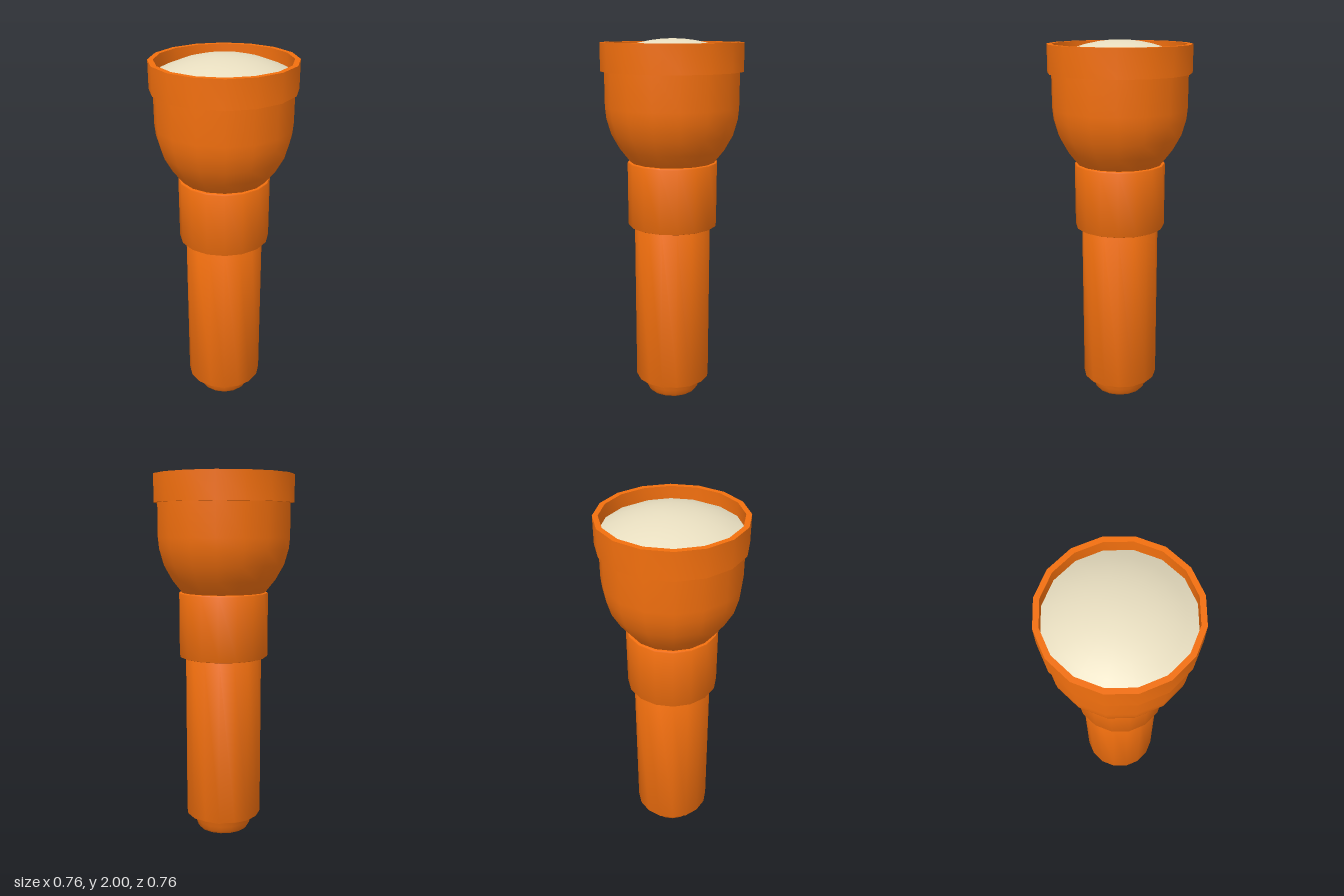
import * as THREE from 'three';
import { toCreasedNormals } from 'three/addons/utils/BufferGeometryUtils.js';

const SIDES = 16;

export function createModel() {
  const group = new THREE.Group();
  group.name = 'flashlight';
  const orange = new THREE.MeshStandardMaterial({ color: 0xf26f0e });
  const cream = new THREE.MeshStandardMaterial({ color: 0xe8dec0 });

  // Turn a [radius, height] profile, listed so that the outside faces out
  function turned(name, profile, material = orange) {
    const points = profile.map(([r, y]) => new THREE.Vector2(r, y));
    const lathe = new THREE.LatheGeometry(points, SIDES);
    const mesh = new THREE.Mesh(toCreasedNormals(lathe, 0.7), material);
    mesh.name = name;
    group.add(mesh);
  }

  // Tube with closed ends and small bevelled edges
  function bevelledTube(name, radius, bottom, top, b = 0.008) {
    turned(name, [
      [0, bottom], [radius - b, bottom], [radius - b * 0.3, bottom + b * 0.3], [radius, bottom + b],
      [radius, top - b], [radius - b * 0.3, top - b * 0.3], [radius - b, top], [0, top],
    ]);
  }

  // Tail cap, tapering down to a rounded base
  turned('tailCap', [
    [0, 0], [0.12, 0], [0.138, 0.006], [0.148, 0.02], [0.158, 0.05], [0.175, 0.1],
  ]);

  // Handle and switch collar
  bevelledTube('handle', 0.21, 0.09, 1.01);
  bevelledTube('collar', 0.245, 1.0, 1.355);

  // Bowl-shaped head
  turned('head', [
    [0.2, 1.32], [0.23, 1.355], [0.285, 1.425], [0.33, 1.505],
    [0.354, 1.59], [0.36, 1.65], [0.36, 1.84],
  ]);

  // Rim around the lens, with its inner wall
  turned('rim', [
    [0.34, 1.833], [0.38, 1.833], [0.38, 1.98], [0.352, 1.98], [0.352, 1.88],
  ]);

  // Shallow domed lens, a cap of a large sphere
  const edge = 0.352, drop = 0.09;
  const R = (edge * edge + drop * drop) / (2 * drop);
  const dome = [];
  for (let i = 0; i <= 6; i++) {
    const r = edge * (1 - i / 6);
    dome.push([r, 2 - R + Math.sqrt(R * R - r * r)]);
  }
  turned('lens', dome, cream);

  return group;
}
